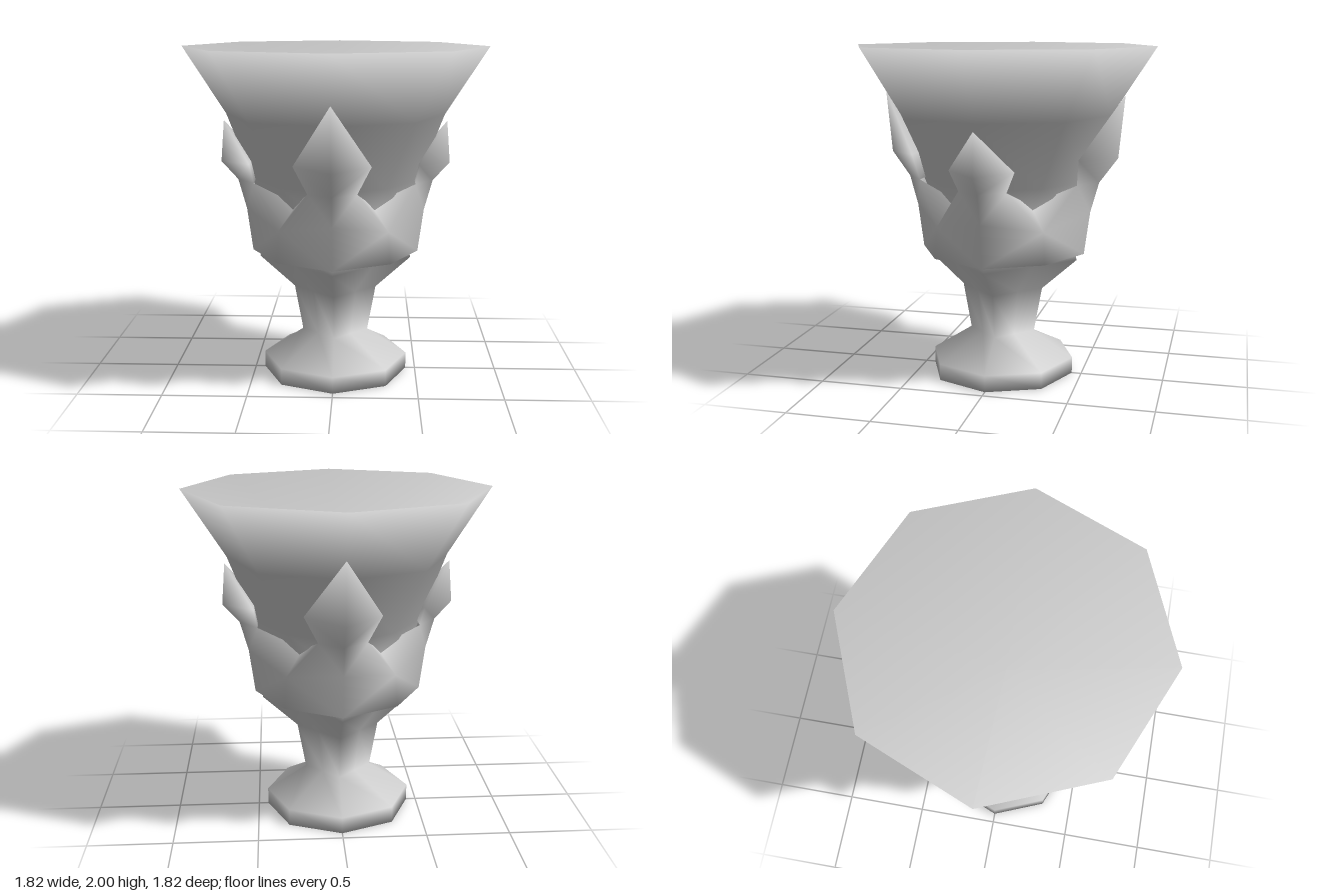
import * as THREE from 'three';
import { mergeVertices } from 'three/addons/utils/BufferGeometryUtils.js';

// Weld the corners so that the normals run smoothly over the whole part
function smooth(geometry) {
  geometry.deleteAttribute('normal');
  geometry.deleteAttribute('uv');
  const welded = mergeVertices(geometry, 1e-4);
  welded.computeVertexNormals();
  return welded;
}

// Foot, stem and bowl: rings of [radius, height, diagonal pull-in].
// A pull-in of SQRT1_2 turns the eight-sided ring into a square one.
function bodyGeometry() {
  const q = Math.SQRT1_2;
  const rings = [
    [0, 0, 1], [0.442, 0, 1], [0.442, 0.1, 1],
    [0.2, 0.255, q], [0.25, 0.53, q], [0.462, 0.72, q], [0.45, 0.77, q],
    [0.42, 1.0, q], [0.5, 1.2, 0.86], [0.655, 1.6, 1], [0.912, 2, 1],
    [0, 1.57, 1], // hollow of the bowl
  ];
  const profile = rings.map(([r, y]) => new THREE.Vector2(r, y));
  const geometry = new THREE.LatheGeometry(profile, 8);
  const p = geometry.attributes.position;
  for (let i = 0; i < p.count; i++) {
    const onDiagonal = Math.floor(i / rings.length) % 2 === 1;
    const k = onDiagonal ? rings[i % rings.length][2] : 1;
    p.setXYZ(i, p.getX(i) * k, p.getY(i), p.getZ(i) * k);
  }
  return smooth(geometry);
}

// One quarter of the leaf collar, centred on the direction given by angle
function addLeaf(out, angle, leaf) {
  const c = Math.cos(angle), s = Math.sin(angle), d = Math.SQRT1_2;
  // u is sideways, r is outward
  const put = ([u, y, r]) => out.push(u * c + r * s, y, r * c - u * s);
  const mirror = ([u, y, r]) => [-u, y, r];
  const tri = (side, a, b, e) => {
    (side > 0 ? [a, b, e] : [a, e, b].map(mirror)).forEach(put);
  };
  const quad = (side, a, b, e, f) => { tri(side, a, b, e); tri(side, a, e, f); };
  const diagonal = (r, y) => [r * d, y, r * d];

  const innerMid = [0, 0.76, 0.43], innerDiag = diagonal(0.304, 0.76);
  const lowMid = [0, 0.76, 0.505], lowDiag = diagonal(0.468, 0.76);
  const mid = [0, 1.02, 0.54], valley = diagonal(0.452, 0.95);
  const lip = diagonal(0.31, 1.09);
  const waistRidge = [0, 1.2, 0.59], waist = [0.14, 1.2, 0.48];
  const ridge = [0, leaf.wingY, leaf.ridgeR], wing = [leaf.wingU, leaf.wingY + 0.01, 0.5];
  const tip = [0, leaf.tipY, leaf.tipR];

  for (const side of [1, -1]) {
    // underside and eight-sided band
    quad(side, innerMid, innerDiag, lowDiag, lowMid);
    quad(side, lowMid, lowDiag, valley, mid);
    // shoulder rising to the leaf, and the lip between two leaves
    tri(side, mid, valley, waist);
    tri(side, mid, waist, waistRidge);
    tri(side, valley, lip, waist);
    // ridged leaf blade
    quad(side, waistRidge, waist, wing, ridge);
    tri(side, ridge, wing, tip);
  }
  // back of the leaf, wing to wing
  quad(1, waist, mirror(waist), mirror(wing), wing);
  tri(1, wing, mirror(wing), tip);
}

export function createModel() {
  const group = new THREE.Group();
  const stone = new THREE.MeshStandardMaterial({ color: 0xcccccc, side: THREE.DoubleSide });
  stone.name = 'pale grey';

  // Eight-sided foot, square stem and flaring, hollowed bowl
  const body = new THREE.Mesh(bodyGeometry(), stone);
  body.name = 'gobletBody';
  group.add(body);

  // Collar with tall leaves front and back, short leaves at the sides
  const tall = { wingY: 1.35, wingU: 0.22, ridgeR: 0.7, tipY: 1.72, tipR: 0.735 };
  const short = { wingY: 1.31, wingU: 0.19, ridgeR: 0.69, tipY: 1.56, tipR: 0.67 };
  const points = [];
  for (let i = 0; i < 4; i++) addLeaf(points, i * Math.PI / 2, i % 2 ? short : tall);
  const geometry = new THREE.BufferGeometry();
  geometry.setAttribute('position', new THREE.Float32BufferAttribute(points, 3));
  const collar = new THREE.Mesh(smooth(geometry), stone);
  collar.name = 'leafCollar';
  group.add(collar);

  return group;
}
